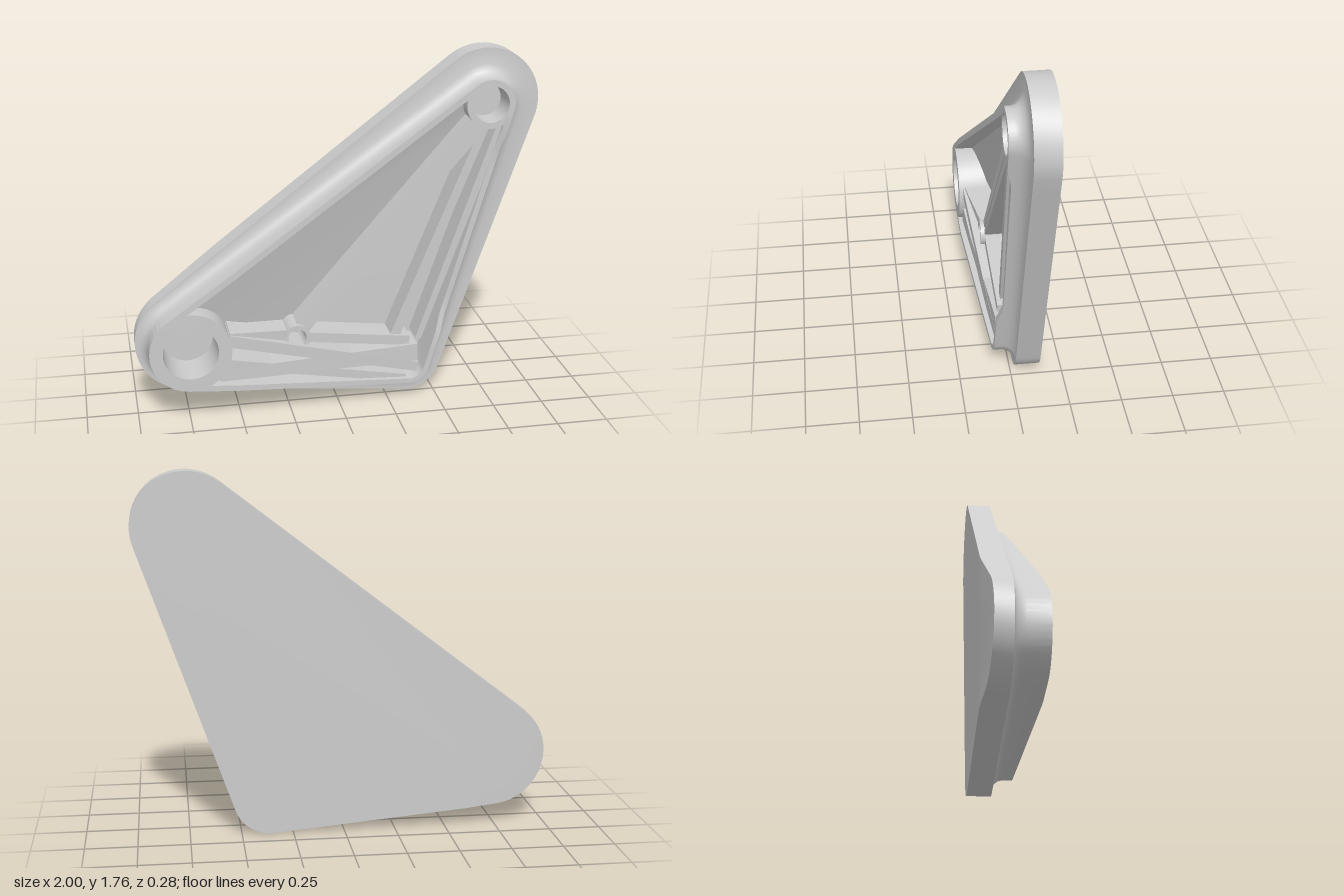
import * as THREE from 'three';
import { toCreasedNormals } from 'three/addons/utils/BufferGeometryUtils.js';

const grey = new THREE.MeshStandardMaterial({ color: 0xcccccc, side: THREE.DoubleSide });
const CENTRES = [[-0.74, 0.36], [0.36, 0.18], [0.74, 1.5]];
const FLOOR = -0.1;

// Rounded triangle wrapped round three circles, anticlockwise
function outline(radii, arcSteps = 18, sideSteps = 14) {
  const angles = CENTRES.map((c, i) => {
    const j = (i + 1) % 3;
    const dx = CENTRES[j][0] - c[0], dy = CENTRES[j][1] - c[1];
    return Math.atan2(dy, dx) - Math.acos((radii[i] - radii[j]) / Math.hypot(dx, dy));
  });
  const at = (i, a) => [CENTRES[i][0] + radii[i] * Math.cos(a), CENTRES[i][1] + radii[i] * Math.sin(a)];
  const pts = [];
  for (let i = 0; i < 3; i++) {
    const j = (i + 1) % 3, end = angles[i];
    let start = angles[(i + 2) % 3];
    while (start > end) start -= 2 * Math.PI;
    while (end - start > 2 * Math.PI) start += 2 * Math.PI;
    for (let k = 0; k < arcSteps; k++) pts.push(at(i, start + (end - start) * k / arcSteps));
    const p = at(i, end), q = at(j, end);
    for (let k = 0; k < sideSteps; k++) {
      const t = k / sideSteps;
      pts.push([p[0] + (q[0] - p[0]) * t, p[1] + (q[1] - p[1]) * t]);
    }
  }
  return pts;
}

// Height of the raised rim, falling away from the large boss
function rimZ(x, y) {
  if (x > 0.4 && y > 0.4 && y < 1.36) return 0.045;
  return 0.14 - 0.075 * THREE.MathUtils.clamp((x + 0.53) / 1.16, 0, 1);
}
const backZ = x => -0.14 + 0.0875 * Math.max(0, -0.6 - x);

// Skin the rows of the outline, closing the back and the pocket floor
function bodyGeometry() {
  const rows = [
    [[0.26, 0.18, 0.26], backZ],
    [[0.26, 0.18, 0.26], () => -0.02],
    [[0.24, 0.15, 0.18], () => -0.02],
    [[0.219, 0.122, 0.147], () => -0.008],
    [[0.206, 0.106, 0.127], () => 0.012],
    [[0.2, 0.1, 0.12], () => 0.035],
    [[0.2, 0.1, 0.12], rimZ],
    [[0.17, 0.075, 0.09], rimZ],
    [[0.165, 0.07, 0.085], () => FLOOR],
  ];
  const pos = [], index = [];
  for (const [radii, z] of rows) for (const [x, y] of outline(radii)) pos.push(x, y, z(x, y));
  const n = pos.length / 3 / rows.length;
  pos.push(-0.6, 0.35, -0.14, 0.15, 0.6, FLOOR);
  const back = n * rows.length, last = n * (rows.length - 1);
  for (let i = 0; i < n; i++) {
    const j = (i + 1) % n;
    for (let r = 0; r < rows.length - 1; r++) {
      const a = r * n, b = a + n;
      index.push(a + i, a + j, b + j, a + i, b + j, b + i);
    }
    index.push(back, j, i, back + 1, last + i, last + j);
  }
  const g = new THREE.BufferGeometry();
  g.setAttribute('position', new THREE.Float32BufferAttribute(pos, 3));
  g.setIndex(index);
  return toCreasedNormals(g, 0.6);
}

// Straight rib standing on the pocket floor, with a sloping top
function ribGeometry([x0, y0, z0], [x1, y1, z1], w0, w1) {
  const g = new THREE.BoxGeometry(1, 1, 1), p = g.attributes.position;
  const len = Math.hypot(x1 - x0, y1 - y0), dx = (x1 - x0) / len, dy = (y1 - y0) / len;
  for (let i = 0; i < p.count; i++) {
    const end = p.getX(i) > 0, side = p.getY(i) * (end ? w1 : w0);
    const z = p.getZ(i) > 0 ? (end ? z1 : z0) : FLOOR;
    p.setXYZ(i, (end ? x1 : x0) - dy * side, (end ? y1 : y0) + dx * side, z);
  }
  g.computeVertexNormals();
  return g;
}

// Hollow round boss
function bossGeometry(outer, inner, top) {
  const profile = [[outer, FLOOR], [outer, top], [inner, top], [inner * 0.95, FLOOR + 0.03], [0, FLOOR + 0.03]];
  const g = new THREE.LatheGeometry(profile.map(p => new THREE.Vector2(...p)), 40);
  g.rotateX(Math.PI / 2);
  return toCreasedNormals(g, 0.6);
}

export function createModel() {
  const group = new THREE.Group();
  const add = (name, geometry, x = 0, y = 0) => {
    const mesh = new THREE.Mesh(geometry, grey);
    mesh.name = name;
    mesh.position.set(x, y, 0);
    group.add(mesh);
  };

  // Base plate with raised rim and pocket
  add('armBody', bodyGeometry());

  // Bosses
  add('largeBoss', bossGeometry(0.2, 0.135, 0.14), -0.74, 0.36);
  add('upperBoss', bossGeometry(0.12, 0.09, 0.065), 0.74, 1.5);
  add('smallBoss', bossGeometry(0.065, 0.045, 0.07), -0.21, 0.37);

  // Sloping web between the long rim and the diagonal ribs
  const web = new THREE.BufferGeometry();
  web.setAttribute('position', new THREE.Float32BufferAttribute([
    -0.8, 0.52, 0.05, -0.24, 0.37, -0.09, 0.68, 1.42, -0.05, 0.66, 1.57, 0.01], 3));
  web.setIndex([0, 1, 2, 0, 2, 3]);
  web.computeVertexNormals();
  add('slopingWeb', web);

  // Ribs: start, end, start width, end width
  const ribs = [
    ['lowerRib', [-0.6, 0.22, 0.12], [0.4, 0.24, 0.065], 0.06, 0.09],
    ['lowerRib', [-0.56, 0.4, 0.12], [0.4, 0.16, 0.065], 0.06, 0.05],
    ['lowerRib', [-0.57, 0.28, 0.12], [0.34, 0.1, 0.06], 0.05, 0.04],
    ['bossRib', [-0.55, 0.4, 0.11], [-0.26, 0.38, 0.06], 0.07, 0.06],
    ['bossRib', [-0.16, 0.36, 0.05], [0.36, 0.3, 0.05], 0.05, 0.05],
    ['diagonalRib', [-0.2, 0.42, 0.05], [0.66, 1.42, 0.05], 0.035, 0.05],
    ['diagonalRib', [-0.16, 0.4, 0.05], [0.71, 1.39, 0.05], 0.025, 0.04],
    ['sideRib', [0.28, 0.3, 0.03], [0.72, 1.4, 0.05], 0.05, 0.04],
    ['sideRib', [0.41, 0.3, 0.03], [0.8, 1.4, 0.045], 0.03, 0.04],
  ];
  for (const [name, ...spec] of ribs) add(name, ribGeometry(...spec));
  return group;
}
